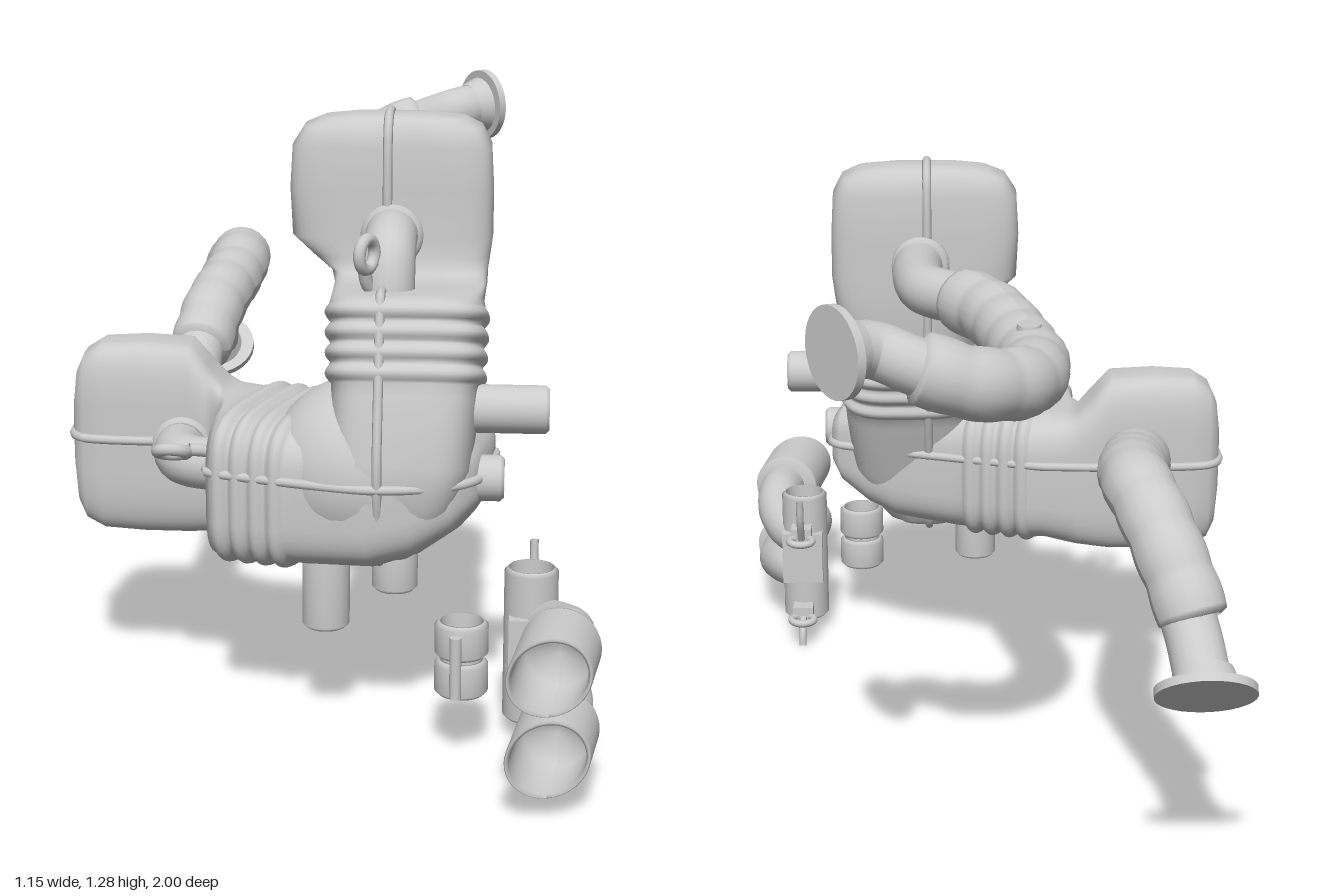
import * as THREE from 'three';

const material = new THREE.MeshStandardMaterial({ color: 0xcccccc, side: THREE.DoubleSide });
const V = (p) => new THREE.Vector3(...p);

function add(parent, name, geometry, position = [0, 0, 0]) {
  const m = new THREE.Mesh(geometry, material);
  m.name = name;
  m.position.set(...position);
  parent.add(m);
  return m;
}

// Tube through points; grow(t) changes its radius along the length
function tube(parent, name, points, r, { seg = 40, sides = 20, grow = null, closed = false } = {}) {
  const curve = new THREE.CatmullRomCurve3(points.map(V), closed, 'centripetal');
  const g = new THREE.TubeGeometry(curve, seg, r, sides, closed);
  if (grow) {
    const p = g.attributes.position, n = g.attributes.normal;
    for (let i = 0; i < p.count; i++) {
      const d = grow(Math.floor(i / (sides + 1)) / seg);
      p.setXYZ(i, p.getX(i) + n.getX(i) * d, p.getY(i) + n.getY(i) * d, p.getZ(i) + n.getZ(i) * d);
    }
    g.computeVertexNormals();
  }
  return add(parent, name, g);
}

// Hollow collar or open stub along the y axis
function collar(parent, name, position, rOut, rIn, length) {
  const h = length / 2, b = 0.008;
  const pts = [[rIn, -h], [rOut - b, -h], [rOut, -h + b], [rOut, h - b], [rOut - b, h], [rIn, h], [rIn, -h]];
  const g = new THREE.LatheGeometry(pts.map((p) => new THREE.Vector2(...p)), 28);
  return add(parent, name, g, position);
}

// Silencer sections: y, x min, x max, z back, z front, tilt
const SECTIONS = [
  [0.37, -0.21, -0.14, 0.4, 0.54, 0.15],
  [0.378, -0.25, -0.125, 0.36, 0.58, 0.2],
  [0.41, -0.28, -0.08, 0.335, 0.62, 0.25],
  [0.48, -0.3, -0.03, 0.31, 0.648, 0.28],
  [0.56, -0.3, 0, 0.28, 0.655, 0.3],
  [0.7, -0.295, 0.01, 0.23, 0.62, 0.3],
  [0.88, -0.3, 0.015, 0.17, 0.56, 0.3],
  [0.9, -0.3, 0.015, 0.16, 0.55, 0.26],
  [0.925, -0.3, 0.02, 0.155, 0.43, 0.12],
  [0.945, -0.31, 0.02, 0.152, 0.35, 0.05],
  [0.98, -0.35, 0.025, 0.15, 0.342, 0],
  [1.02, -0.395, 0.03, 0.15, 0.335, 0],
  [1.12, -0.4, 0.03, 0.15, 0.335, 0],
  [1.21, -0.395, 0.025, 0.155, 0.33, 0],
  [1.25, -0.37, 0.005, 0.165, 0.32, 0],
  [1.268, -0.33, -0.03, 0.185, 0.3, 0],
  [1.276, -0.27, -0.1, 0.21, 0.28, 0],
];

function section(y) {
  let i = 0;
  while (i < SECTIONS.length - 2 && SECTIONS[i + 1][0] < y) i++;
  const a = SECTIONS[i], b = SECTIONS[i + 1], t = (y - a[0]) / (b[0] - a[0]);
  return a.map((v, k) => v + (b[k] - v) * t);
}

function silencerGeometry() {
  const levels = SECTIONS.map((s) => s[0]);
  for (let y = 0.725; y < 0.885; y += 0.006) levels.push(y);
  levels.sort((a, b) => a - b);
  const N = 48, pos = [], index = [];
  const pw = (v) => Math.sign(v) * Math.abs(v) ** 0.5;
  for (const y of levels) {
    const [, x0, x1, z0, z1, tilt] = section(y);
    // four raised ribs round the middle
    const rib = y > 0.725 && y < 0.885 ? 0.013 * Math.abs(Math.sin(((y - 0.725) / 0.16) * Math.PI * 4)) : 0;
    for (let j = 0; j < N; j++) {
      const a = (j / N) * Math.PI * 2;
      const dz = pw(Math.sin(a)) * ((z1 - z0) / 2 + rib);
      pos.push((x0 + x1) / 2 + pw(Math.cos(a)) * ((x1 - x0) / 2 + rib), y + tilt * dz, (z0 + z1) / 2 + dz);
    }
  }
  const L = levels.length;
  for (let i = 0; i < L - 1; i++) for (let j = 0; j < N; j++) {
    const a = i * N + j, b = i * N + ((j + 1) % N);
    index.push(a, a + N, b, b, a + N, b + N);
  }
  for (let j = 1; j < N - 1; j++) {
    index.push(0, j, j + 1);
    index.push((L - 1) * N, (L - 1) * N + j + 1, (L - 1) * N + j);
  }
  const g = new THREE.BufferGeometry();
  g.setAttribute('position', new THREE.Float32BufferAttribute(pos, 3));
  g.setIndex(index);
  g.computeVertexNormals();
  return g;
}

// One arm of the silencer with its seam, inlet elbow, hanger and side stubs
function silencerArm(name) {
  const arm = new THREE.Group();
  arm.name = name;
  add(arm, 'silencerShell', silencerGeometry());
  const front = [], back = [];
  for (const s of SECTIONS) {
    const h = (s[4] - s[3]) / 2;
    front.push([-0.19, s[0] + s[5] * h, s[4]]);
    back.unshift([-0.19, s[0] - s[5] * h, s[3]]);
  }
  tube(arm, 'weldSeam', [...front, ...back], 0.01, { seg: 120, sides: 8, closed: true });
  tube(arm, 'crossoverElbow', [[-0.18, 1.03, 0.3], [-0.18, 1.03, 0.38], [-0.18, 1.005, 0.435], [-0.18, 0.95, 0.46], [-0.18, 0.86, 0.465]], 0.055);
  collar(arm, 'elbowCollar', [-0.18, 1.03, 0.335], 0.066, 0.05, 0.03).rotation.x = Math.PI / 2;
  collar(arm, 'outletCollar', [-0.175, 1.06, 0.145], 0.066, 0.05, 0.03).rotation.x = Math.PI / 2;
  const ring = add(arm, 'hangerRing', new THREE.TorusGeometry(0.031, 0.013, 10, 24), [-0.22, 1.025, 0.515]);
  ring.rotation.y = Math.PI / 2 - 0.45;
  tube(arm, 'hangerStem', [[-0.225, 0.99, 0.51], [-0.22, 0.96, 0.5], [-0.2, 0.93, 0.48]], 0.014, { seg: 8, sides: 8 });
  collar(arm, 'longStub', [0.07, 0.705, 0.505], 0.05, 0.04, 0.17).rotation.z = Math.PI / 2;
  collar(arm, 'shortStub', [0.015, 0.56, 0.515], 0.048, 0.034, 0.1).rotation.z = Math.PI / 2;
  return arm;
}

// Bare pipe, ribbed sleeve over its bend, and end flange
function frontPipe(name, path, sleeve, flangeAt, flangeNormal, flangeWidth) {
  const g = new THREE.Group();
  g.name = name;
  tube(g, 'pipe', path, 0.056, { seg: 70 });
  tube(g, 'heatSleeve', sleeve, 0.07, {
    seg: 96,
    grow: (t) => (t === 0 || t === 1 ? -0.015 : 0.004 * Math.abs(Math.sin(t * Math.PI * 9)) - 0.001),
  });
  const n = V(flangeNormal).normalize();
  const turn = new THREE.Quaternion().setFromUnitVectors(new THREE.Vector3(0, 1, 0), n);
  const flange = add(g, 'flange', new THREE.CylinderGeometry(0.094, 0.094, 0.018, 32), flangeAt);
  const neck = add(g, 'flangeNeck', new THREE.CylinderGeometry(0.07, 0.056, 0.04, 24), V(flangeAt).addScaledVector(n, -0.028).toArray());
  flange.quaternion.copy(turn);
  neck.quaternion.copy(turn);
  flange.scale.x = flangeWidth;
  return g;
}

// Tail pipe with a slant-cut tip
function tailPipe(y, yJoin) {
  const g = new THREE.Group();
  g.name = 'tailPipe';
  tube(g, 'tailBend', [[0.11, yJoin, 0.53], [0.16, yJoin, 0.575], [0.195, (y + yJoin) / 2, 0.66], [0.2, y, 0.74], [0.19, y, 0.83]], 0.054);
  const profile = [[0.05, 0], [0.078, 0.004], [0.08, 0.012], [0.08, 0.182], [0.077, 0.187], [0.071, 0.182], [0.07, 0.04], [0, 0.035]];
  const tip = new THREE.LatheGeometry(profile.map((p) => new THREE.Vector2(...p)), 40);
  tip.rotateX(Math.PI / 2);
  const p = tip.attributes.position;
  for (let i = 0; i < p.count; i++) if (p.getZ(i) > 0.1) p.setZ(i, p.getZ(i) - 0.42 * p.getX(i));
  tip.rotateY(-0.14);
  tip.computeVertexNormals();
  add(g, 'tailTip', tip, [0.187, y, 0.793]);
  return g;
}

export function createModel() {
  const model = new THREE.Group();
  model.name = 'exhaustSystem';

  // L-shaped silencer: the side arm is the upright arm mirrored across the diagonal
  model.add(silencerArm('uprightSilencer'));
  const side = silencerArm('sideSilencer');
  side.scale.x = -1;
  side.rotation.z = Math.PI / 2;
  side.position.set(0.4, 0.38, 0);
  model.add(side);
  add(model, 'cornerDome', new THREE.SphereGeometry(1, 40, 28), [-0.225, 0.565, 0.475]).scale.set(0.205, 0.195, 0.182);

  // Two long pipes running to the back
  model.add(frontPipe('upperPipe',
    [[-0.17, 1.06, 0.18], [-0.17, 1.06, 0.02], [-0.19, 1.06, -0.08], [-0.29, 1.06, -0.19], [-0.36, 1.05, -0.35], [-0.4, 1.03, -0.53],
      [-0.38, 1.03, -0.68], [-0.29, 1.05, -0.79], [-0.17, 1.1, -0.81], [-0.09, 1.13, -0.8], [-0.03, 1.14, -0.845]],
    [[-0.265, 1.06, -0.16], [-0.33, 1.055, -0.27], [-0.385, 1.035, -0.45], [-0.405, 1.03, -0.58], [-0.375, 1.035, -0.7], [-0.28, 1.06, -0.79], [-0.17, 1.1, -0.81]],
    [-0.02, 1.14, -0.85], [0.82, 0.05, -0.58], 0.92));
  model.add(frontPipe('lowerPipe',
    [[-0.66, 0.55, 0.18], [-0.66, 0.55, 0.02], [-0.66, 0.58, -0.05], [-0.655, 0.66, -0.13], [-0.64, 0.73, -0.27], [-0.605, 0.785, -0.5],
      [-0.61, 0.785, -0.62], [-0.65, 0.7, -0.74], [-0.7, 0.58, -0.82], [-0.715, 0.52, -0.88], [-0.72, 0.485, -0.915]],
    [[-0.655, 0.66, -0.13], [-0.64, 0.73, -0.27], [-0.615, 0.77, -0.45], [-0.61, 0.79, -0.58], [-0.64, 0.75, -0.69], [-0.69, 0.64, -0.785], [-0.71, 0.58, -0.82]],
    [-0.725, 0.475, -0.925], [0, -0.73, -0.68], 1.08));
  add(model, 'sensorBoss', new THREE.CylinderGeometry(0.024, 0.03, 0.04, 16), [-0.395, 1.086, -0.53]).scale.z = 1.3;

  // Twin tail pipes on a vertical connecting pipe
  model.add(tailPipe(0.305, 0.265), tailPipe(0.138, 0.17));
  collar(model, 'connectingPipe', [0.125, 0.215, 0.545], 0.056, 0.046, 0.33);
  add(model, 'connectingWeb', new THREE.BoxGeometry(0.1, 0.13, 0.13), [0.13, 0.22, 0.55]);
  for (const [y, tip] of [[0.075, 0.015], [0.285, 0.395]]) {
    add(model, 'hangerBracket', new THREE.BoxGeometry(0.05, 0.05, 0.07), [0.13, y, 0.485]);
    tube(model, 'hangerPin', [[0.13, y, 0.45], [0.13, (y + tip) / 2, 0.42], [0.13, tip, 0.412]], 0.009, { seg: 8, sides: 8 });
    const loop = add(model, 'hangerLoop', new THREE.TorusGeometry(0.028, 0.009, 10, 24), [0.13, y, 0.435]);
    loop.rotation.x = Math.PI / 2;
  }

  // Loose pair of clamp rings
  for (const y of [0.18, 0.262]) collar(model, 'clampRing', [-0.015, y, 0.655], 0.055, 0.042, 0.074);
  add(model, 'clampBolt', new THREE.CylinderGeometry(0.012, 0.012, 0.13, 12), [-0.025, 0.22, 0.72]);
  return model;
}
